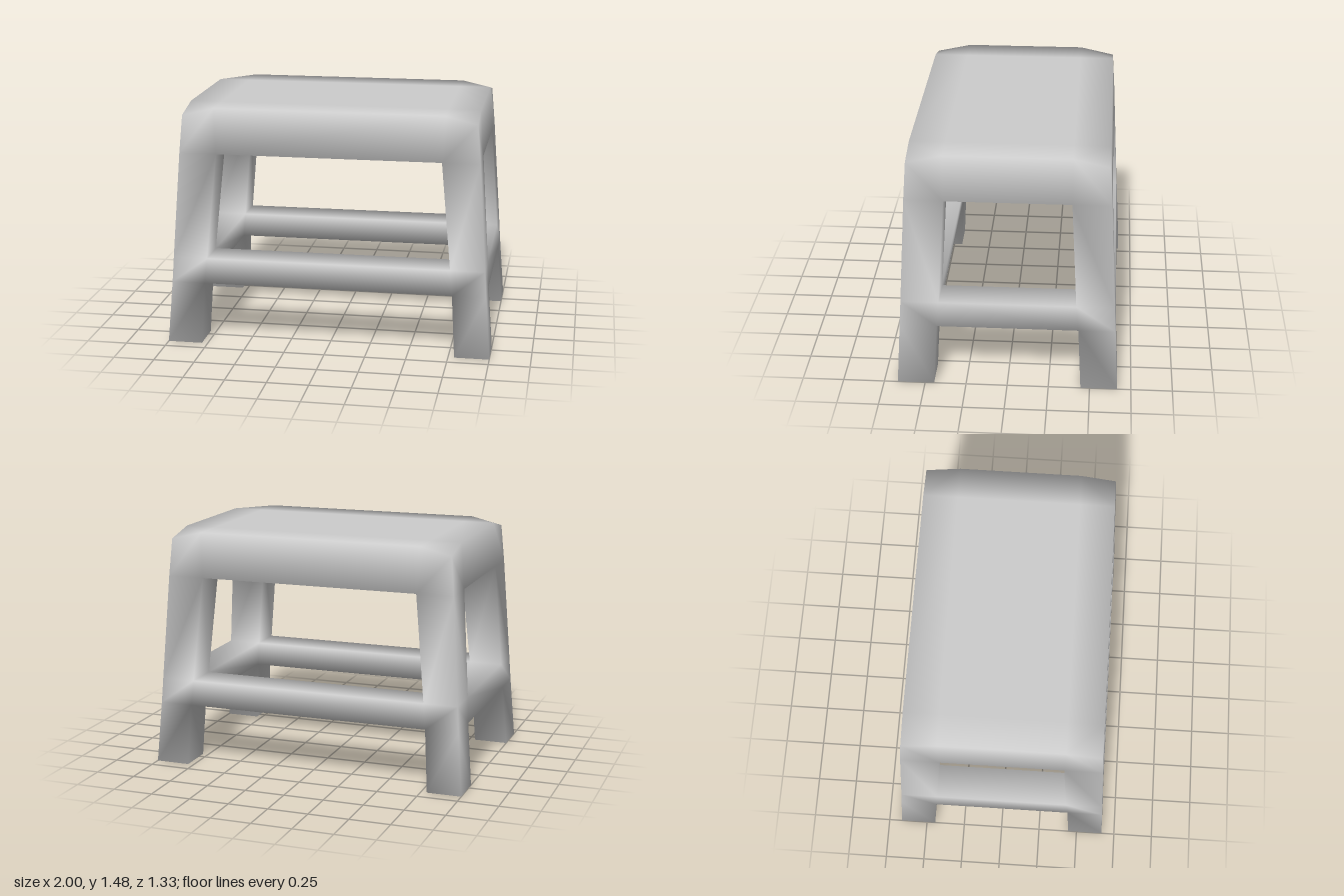
import * as THREE from 'three';

// Lattice planes: height, then outer and inner half-extents of the legs in x and z
const levels = [
  { y: 0, x: [1, 0.787], z: [0.667, 0.445] },
  { y: 0.385, x: [0.97, 0.765], z: [0.647, 0.425] },
  { y: 0.542, x: [0.96, 0.75], z: [0.638, 0.41] },
  { y: 1.195, x: [0.915, 0.687], z: [0.605, 0.375] },
  { y: 1.475, x: [0.895, 0.7], z: [0.59, 0.375] },
];
const isEnd = (n) => n === 0 || n === 2;
const vertexId = ([i, j, k]) => (j * 4 + i) * 4 + k;

// Which part fills a cell of the 3 x 4 x 3 lattice
function partAt([i, j, k]) {
  if (i < 0 || i > 2 || j < 0 || j > 3 || k < 0 || k > 2) return null;
  if (j === 3) return 'seat';
  if (isEnd(i) && isEnd(k)) return 'legs';
  if (j === 1 && (isEnd(i) || isEnd(k))) return 'rails';
  return null;
}

function latticePositions() {
  const side = (pair, n) => [-pair[0], -pair[1], pair[1], pair[0]][n];
  const out = [];
  levels.forEach((level, j) => {
    for (let i = 0; i < 4; i++) for (let k = 0; k < 4; k++) {
      // The four seat corners dip slightly
      const dip = j === 4 && i % 3 === 0 && k % 3 === 0 ? 0.047 : 0;
      out.push(side(level.x, i), level.y - dip, side(level.z, k));
    }
  });
  return out;
}

// Adds the exposed faces of one cell to a triangle list
function addCell(cell, faces) {
  for (let d = 0; d < 3; d++) for (const sign of [-1, 1]) {
    const neighbour = cell.slice();
    neighbour[d] += sign;
    if (partAt(neighbour)) continue;
    const u = (d + 1) % 3, v = (d + 2) % 3;
    const corner = (du, dv) => {
      const p = cell.slice();
      if (sign > 0) p[d]++;
      p[u] += du;
      p[v] += dv;
      return vertexId(p);
    };
    let q = [corner(0, 0), corner(1, 0), corner(1, 1), corner(0, 1)];
    if (sign < 0) q.reverse();
    // Fold the top corners across the diagonal so each is a clipped triangle
    if (d === 1 && sign > 0 && cell[0] === cell[2]) q = [q[1], q[2], q[3], q[0]];
    faces.push(q[0], q[1], q[2], q[0], q[2], q[3]);
  }
}

export function createModel() {
  const group = new THREE.Group();
  group.name = 'stepStool';
  const material = new THREE.MeshStandardMaterial({ color: 0xcccccc });
  material.name = 'plainGrey';

  const parts = { seat: [], legs: [], rails: [] };
  for (let j = 0; j < 4; j++) for (let i = 0; i < 3; i++) for (let k = 0; k < 3; k++) {
    const part = partAt([i, j, k]);
    if (part) addCell([i, j, k], parts[part]);
  }

  // Normals are shared over the whole frame so the joints blend smoothly
  const whole = new THREE.BufferGeometry();
  whole.setAttribute('position', new THREE.Float32BufferAttribute(latticePositions(), 3));
  whole.setIndex(Object.values(parts).flat());
  whole.computeVertexNormals();

  for (const [name, faces] of Object.entries(parts)) {
    const geometry = new THREE.BufferGeometry();
    geometry.setAttribute('position', whole.getAttribute('position').clone());
    geometry.setAttribute('normal', whole.getAttribute('normal').clone());
    geometry.setIndex(faces);
    const mesh = new THREE.Mesh(geometry, material);
    mesh.name = name;
    group.add(mesh);
  }
  return group;
}
